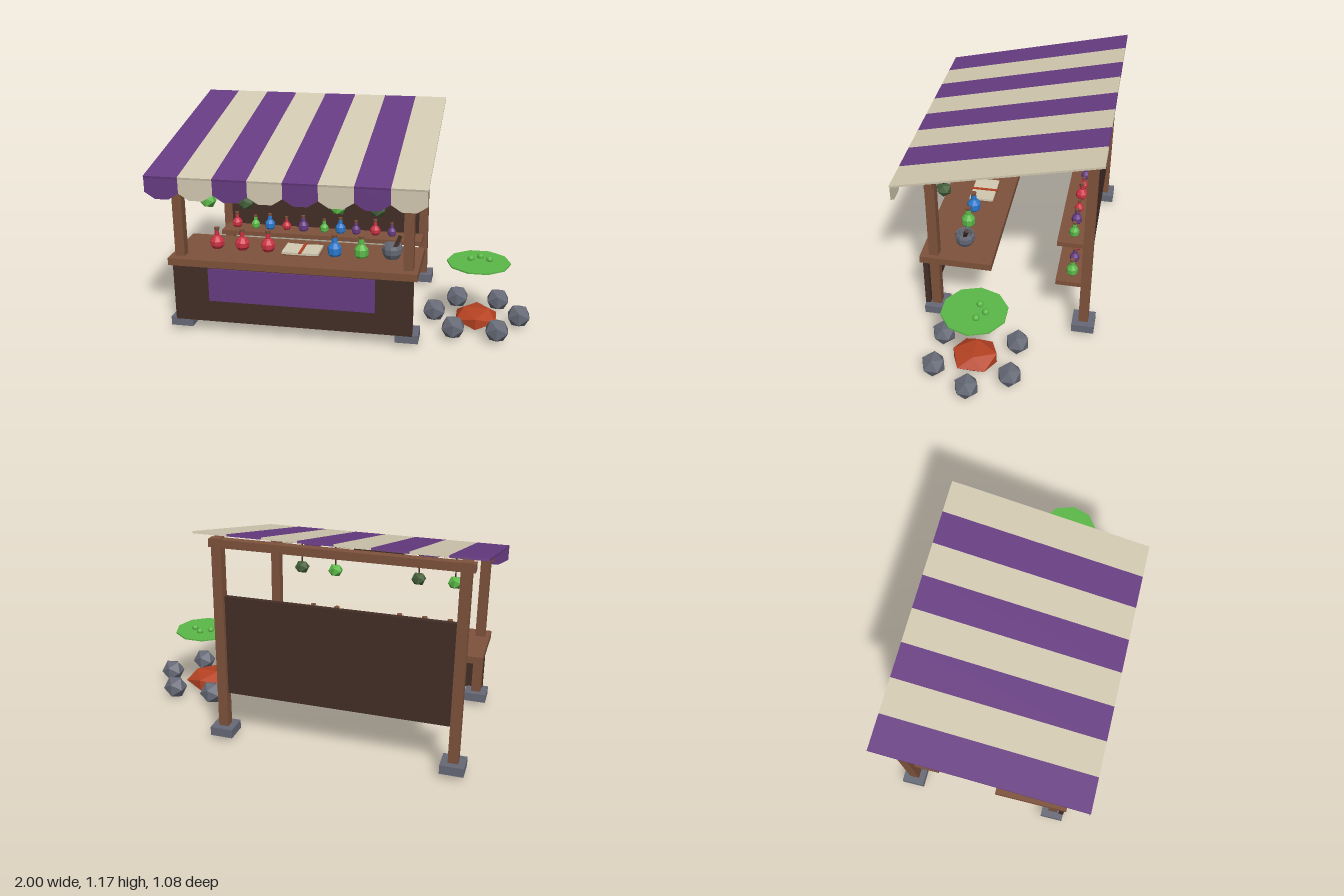
import * as THREE from 'three';

const palette = {
  wood: 0x7d523b, darkWood: 0x432e26, purple: 0x673c82, cream: 0xd2c9b0, stone: 0x666a76,
  red: 0xcc3344, blue: 0x2b78cc, green: 0x5cb848, darkGreen: 0x45603a, ember: 0xb54222,
};

export function createModel() {
  const model = new THREE.Group();
  model.name = 'potionStall';
  const mats = {};
  for (const [name, color] of Object.entries(palette)) {
    mats[name] = new THREE.MeshStandardMaterial({ color, flatShading: true, side: THREE.DoubleSide });
    mats[name].name = name;
  }

  const add = (name, geo, mat, x = 0, y = 0, z = 0, parent = model) => {
    const m = new THREE.Mesh(geo, mats[mat]);
    m.name = name;
    m.position.set(x, y, z);
    parent.add(m);
    return m;
  };
  // Box given by its x centre, width, and its y and z ranges
  const box = (name, mat, x, w, y0, y1, z0, z1, parent = model) =>
    add(name, new THREE.BoxGeometry(w, y1 - y0, z1 - z0), mat, x, (y0 + y1) / 2, (z0 + z1) / 2, parent);

  const CX = -0.273; // middle of the stall

  // Posts on stone feet
  for (const s of [-1, 1]) {
    const x = CX + s * 0.623;
    box('frontPost', 'wood', x, 0.053, 0.08, 0.945, 0.327, 0.38);
    box('backPost', 'wood', x, 0.053, 0.08, 1.138, -0.507, -0.454);
    for (const z of [0.353, -0.481]) box('stoneFoot', 'stone', x, 0.124, 0.033, 0.082, z - 0.062, z + 0.062);
  }
  box('frontBeam', 'wood', CX, 1.33, 0.886, 0.93, 0.33, 0.377);
  box('backBeam', 'wood', CX, 1.33, 1.09, 1.133, -0.504, -0.457);

  // Counter, panels and shelves
  box('counterTop', 'wood', CX, 1.353, 0.395, 0.435, 0.03, 0.427);
  box('counterPanel', 'darkWood', CX, 1.307, 0.075, 0.395, 0.389, 0.417);
  box('counterBanner', 'purple', CX, 0.91, 0.2, 0.388, 0.417, 0.425);
  box('backWall', 'darkWood', CX, 1.24, 0.275, 0.825, -0.485, -0.458);
  box('upperShelf', 'wood', CX, 1.25, 0.581, 0.607, -0.458, -0.314);
  box('lowerShelf', 'wood', CX, 1.25, 0.311, 0.338, -0.458, -0.314);

  // Striped awning with a scalloped valance
  const stripes = 8, sw = 1.456 / stripes, slope = Math.atan2(0.25, 1.08);
  const scallop = new THREE.Shape([
    [-sw / 2, 0.925], [-sw / 2, 0.84], [-sw * 0.2, 0.805], [sw * 0.2, 0.805], [sw / 2, 0.84], [sw / 2, 0.925],
  ].map(([x, y]) => new THREE.Vector2(x, y)));
  for (let i = 0; i < stripes; i++) {
    const mat = i % 2 ? 'cream' : 'purple', x = -1 + sw * (i + 0.5);
    add('awningStripe', new THREE.BoxGeometry(sw, 0.011, 1.107), mat, x, 1.046, 0).rotation.x = slope;
    add('valanceFlap', new THREE.ShapeGeometry(scallop), mat, x, 0, 0.537);
  }

  // Hanging sign with a flask emblem
  box('signBoard', 'darkWood', CX, 0.3, 0.8, 0.93, 0.38, 0.4);
  const emblem = add('signEmblem', new THREE.CylinderGeometry(0.032, 0.032, 0.014, 8), 'red', CX, 0.857, 0.407);
  emblem.rotation.x = Math.PI / 2;
  box('signEmblemNeck', 'red', CX, 0.02, 0.88, 0.905, 0.4, 0.412);

  // Potion bottles, round for red and shouldered for the rest
  const lathe = (pts, n = 8) => new THREE.LatheGeometry(pts.map(([r, y]) => new THREE.Vector2(r, y)), n);
  const roundFlask = lathe([[0, 0], [0.02, 0], [0.032, 0.016], [0.032, 0.036], [0.019, 0.054], [0.011, 0.06], [0.011, 0.084], [0, 0.084]]);
  const tallFlask = lathe([[0, 0], [0.025, 0], [0.031, 0.01], [0.031, 0.038], [0.014, 0.06], [0.012, 0.084], [0, 0.084]]);
  const cork = new THREE.CylinderGeometry(0.013, 0.011, 0.014, 8);
  const bottle = (mat, x, y, z, s) => {
    const g = new THREE.Group();
    g.name = mat + 'Bottle';
    g.position.set(x, y, z);
    g.scale.setScalar(s);
    add('glass', mat === 'red' ? roundFlask : tallFlask, mat, 0, 0, 0, g);
    add('cork', cork, 'wood', 0, 0.09, 0, g);
    model.add(g);
  };
  const xs = [-0.82, -0.7, -0.607, -0.5, -0.393, -0.26, -0.158, -0.06, 0.06, 0.163, 0.275];
  const upper = ['blue', 'red', 'blue', 'red', 'green', 'purple', 'red', 'red', 'red', 'purple', 'green'];
  const upperSizes = [0.92, 0.75, 0.92, 1.02, 0.78, 0.78, 0.75, 1.02, 0.75, 0.9, 0.85];
  const lower = ['red', 'green', 'blue', 'red', 'purple', 'green', 'blue', 'purple', 'red', 'purple', 'green'];
  xs.forEach((x, i) => {
    bottle(upper[i], x, 0.607, -0.395, upperSizes[i]);
    bottle(lower[i], x, 0.338, -0.395, i % 2 ? 0.85 : 1);
  });
  [['red', -0.735], ['red', -0.59], ['red', -0.443], ['blue', -0.07], ['green', 0.077]]
    .forEach(([mat, x]) => bottle(mat, x, 0.435, 0.227, 1.24));

  // Open book with a ribbon
  box('bookCover', 'wood', -0.254, 0.214, 0.435, 0.439, 0.128, 0.278);
  for (const s of [-1, 1]) {
    box('bookPages', 'cream', -0.254 + s * 0.052, 0.1, 0.439, 0.452, 0.133, 0.273).rotation.z = s * 0.04;
  }
  box('bookRibbon', 'ember', -0.254, 0.016, 0.45, 0.455, 0.126, 0.28);

  // Mortar and pestle
  add('mortar', lathe([[0, 0], [0.038, 0], [0.054, 0.028], [0.056, 0.058], [0.05, 0.075], [0.042, 0.075], [0.034, 0.03], [0, 0.025]], 10),
    'stone', 0.243, 0.435, 0.208);
  const pestle = add('pestle', new THREE.CylinderGeometry(0.013, 0.01, 0.1, 6), 'darkWood', 0.265, 0.51, 0.2);
  pestle.rotation.set(-0.25, 0, -0.4);

  // Herb bundles hung from the front beam
  [[-0.735, 'green'], [-0.525, 'darkGreen'], [-0.028, 'green'], [0.18, 'darkGreen']].forEach(([x, mat]) => {
    add('herbBundle', new THREE.IcosahedronGeometry(0.045, 0), mat, x, 0.743, 0.33).scale.y = 0.92;
    box('herbString', 'darkWood', x, 0.007, 0.77, 0.89, 0.327, 0.334);
  });

  // Bubbling brew surface above the fire
  const FX = 0.704, FZ = 0.055;
  const brew = add('brewSurface', new THREE.CylinderGeometry(0.175, 0.175, 0.008, 10), 'green', FX, 0.379, FZ);
  brew.rotation.y = Math.PI / 2;
  for (const [x, z] of [[0.66, 0.035], [0.712, -0.005], [0.762, 0.035]]) {
    add('bubble', new THREE.IcosahedronGeometry(0.019, 1), 'green', x, 0.391, z);
  }

  // Fire pit
  add('embers', new THREE.IcosahedronGeometry(1, 0), 'ember', FX, 0.056, FZ + 0.005).scale.set(0.13, 0.06, 0.138);
  for (let i = 0; i < 6; i++) {
    const a = i * Math.PI / 3;
    add('fireStone', new THREE.IcosahedronGeometry(0.069, 0), 'stone', FX + 0.235 * Math.cos(a), 0.073, FZ + 0.235 * Math.sin(a));
  }
  return model;
}
